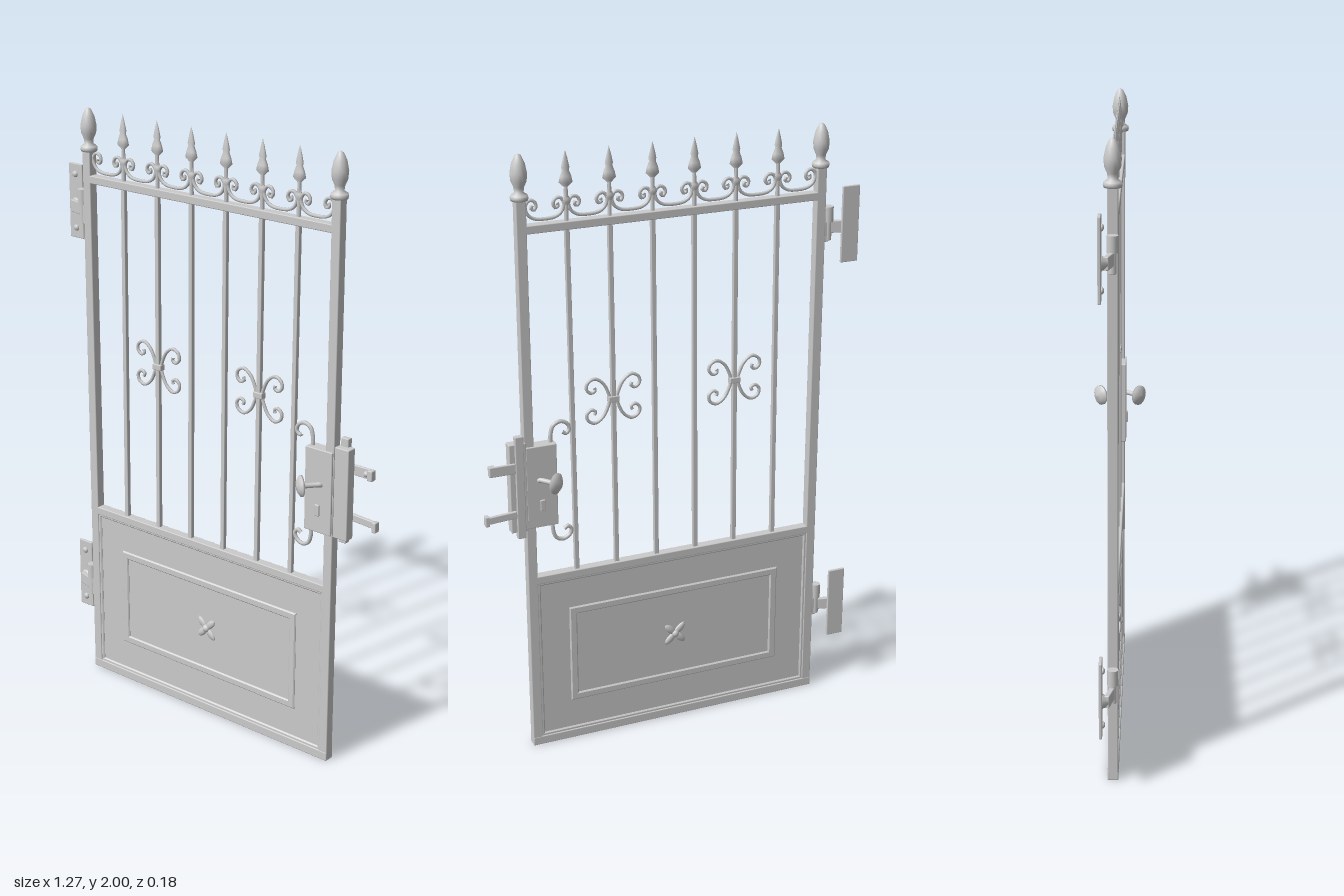
import * as THREE from 'three';
import { RoundedBoxGeometry } from 'three/addons/geometries/RoundedBoxGeometry.js';

const Z = 0.004; // centre plane of the gate leaf
const LEFT = -0.515, RIGHT = 0.479; // post centres
const iron = new THREE.MeshStandardMaterial({ color: 0xcccccc });

function add(parent, name, geometry, x = 0, y = 0, z = 0) {
  const mesh = new THREE.Mesh(geometry, iron);
  mesh.name = name;
  mesh.position.set(x, y, z);
  parent.add(mesh);
  return mesh;
}

// Box given by its extents
function box(parent, name, x0, x1, y0, y1, z0, z1, r = 0.003) {
  return add(parent, name, new RoundedBoxGeometry(x1 - x0, y1 - y0, z1 - z0, 1, r),
    (x0 + x1) / 2, (y0 + y1) / 2, (z0 + z1) / 2);
}

function lathe(points, segments = 16) {
  return new THREE.LatheGeometry(points.map(p => new THREE.Vector2(...p)), segments);
}

function tube(points, radius, segments = 48) {
  const curve = new THREE.CatmullRomCurve3(points.map(([x, y]) => new THREE.Vector3(x, y, 0)));
  return new THREE.TubeGeometry(curve, segments, radius, 6);
}

// Bevelled rectangular frame, extruded evenly around z = 0
function frame(x0, x1, y0, y1, width, depth) {
  const rect = (Type, i) => new Type([[x0 + i, y0 + i], [x1 - i, y0 + i], [x1 - i, y1 - i], [x0 + i, y1 - i]]
    .map(p => new THREE.Vector2(...p)));
  const shape = rect(THREE.Shape, 0.004);
  shape.holes.push(rect(THREE.Path, width - 0.004));
  const geometry = new THREE.ExtrudeGeometry(shape, {
    depth: depth - 0.008, bevelSize: 0.004, bevelThickness: 0.004, bevelSegments: 1,
  });
  return geometry.translate(0, 0, 0.004 - depth / 2);
}

// Posts with bud finials
function buildPosts(gate) {
  const bud = lathe([[0, 1.855], [0.026, 1.86], [0.028, 1.868], [0.026, 1.876], [0.014, 1.884], [0.016, 1.9],
    [0.024, 1.918], [0.026, 1.942], [0.02, 1.972], [0.009, 1.995], [0, 2]]);
  for (const x of [LEFT, RIGHT]) {
    box(gate, 'post', x - 0.016, x + 0.016, 0, 1.865, Z - 0.016, Z + 0.016);
    add(gate, 'postFinial', bud, x, 0, Z);
  }
}

// Upright bars, spear heads and the scroll crest
function buildBars(gate) {
  const bars = [-0.368, -0.225, -0.085, 0.053, 0.193, 0.331].map(x => x + 0.002);
  const spear = lathe([[0, 1.8], [0.009, 1.83], [0.014, 1.84], [0.014, 1.85], [0.007, 1.858], [0.006, 1.885],
    [0.022, 1.9], [0.018, 1.918], [0.011, 1.935], [0.013, 1.945], [0.007, 1.972], [0, 1.997]], 12).scale(1, 1, 0.6);
  for (const x of bars) {
    const bar = box(gate, 'bar', x - 0.0075, x + 0.0075, 0.61, 1.78, Z - 0.0075, Z + 0.0075, 0.002);
    bar.position.x -= 0.004;
    bar.rotation.z = -0.007;
    add(gate, 'spearStem', new THREE.CylinderGeometry(0.006, 0.007, 0.11, 8), x, 1.835, Z);
    add(gate, 'spearHead', spear, x, 0, Z);
  }

  // Swags with curled ends between neighbouring uprights
  const curl = [[0.55, 0.004], [0.86, 0.018], [0.98, 0.042], [0.8, 0.06], [0.55, 0.058],
    [0.43, 0.043], [0.55, 0.03], [0.69, 0.037], [0.62, 0.045]];
  const stops = [LEFT + 0.01, ...bars, RIGHT - 0.01];
  for (let i = 1; i < stops.length; i++) {
    const mid = (stops[i] + stops[i - 1]) / 2;
    const half = (stops[i] - stops[i - 1]) / 2 - 0.006;
    const right = curl.map(([x, y]) => [x * half, y]);
    const left = right.map(([x, y]) => [-x, y]).reverse();
    add(gate, 'crestScroll', tube([...left, [0, 0], ...right], 0.0055, 64), mid, 1.795, Z);
  }

  // Back-to-back C scrolls on two of the bars
  const arm = [[0.02, 0.03], [0.036, 0.058], [0.062, 0.074], [0.085, 0.063], [0.089, 0.042],
    [0.074, 0.028], [0.06, 0.036], [0.064, 0.046]];
  for (const x of [bars[1], bars[4]]) {
    for (const side of [1, -1]) {
      const up = arm.map(([a, b]) => [side * a, b]);
      const down = up.map(([a, b]) => [a, -b]).reverse();
      add(gate, 'barScroll', tube([...down, [side * 0.012, 0], ...up], 0.0055, 64), x - 0.004, 1.19, Z);
    }
    box(gate, 'scrollCollar', x - 0.022, x + 0.014, 1.18, 1.2, Z - 0.011, Z + 0.011);
  }
}

// Rails and the panelled lower part
function buildPanel(gate) {
  box(gate, 'topRail', LEFT, RIGHT, 1.757, 1.783, Z - 0.016, Z + 0.016);
  box(gate, 'middleRail', LEFT, RIGHT, 0.595, 0.622, Z - 0.016, Z + 0.016);
  box(gate, 'bottomRail', LEFT - 0.016, RIGHT + 0.016, 0, 0.03, Z - 0.017, Z + 0.017);
  box(gate, 'panelSheet', LEFT, RIGHT, 0.01, 0.61, Z - 0.008, Z + 0.008);
  add(gate, 'panelBorder', frame(-0.503, 0.467, 0.026, 0.6, 0.014, 0.026), 0, 0, Z);
  add(gate, 'panelMoulding', frame(-0.392, 0.357, 0.14, 0.487, 0.026, 0.027), 0, 0, Z);

  // Four-petalled rosette on each face
  const petal = new THREE.SphereGeometry(1, 10, 6).scale(0.026, 0.012, 0.007).translate(0.024, 0, 0);
  for (const side of [1, -1]) {
    const rosette = new THREE.Group();
    rosette.name = 'rosette';
    rosette.position.set(-0.017, 0.312, Z + side * 0.009);
    for (let i = 0; i < 4; i++) add(rosette, 'petal', petal).rotation.z = Math.PI / 4 + i * Math.PI / 2;
    add(rosette, 'rosetteCentre', new THREE.SphereGeometry(0.014, 12, 8));
    gate.add(rosette);
  }
}

// Wall hinge: screwed plate, boss, arm and knuckle; y is the plate centre
function buildHinge(gate, y, knuckleY) {
  const hinge = new THREE.Group();
  hinge.name = 'hinge';
  hinge.position.y = y;
  gate.add(hinge);
  box(hinge, 'hingePlate', -0.638, -0.578, -0.125, 0.125, -0.036, -0.026);
  const boss = new THREE.CylinderGeometry(0.01, 0.025, 0.02, 12).rotateX(Math.PI / 2);
  add(hinge, 'hingeBoss', boss, -0.606, -0.012, -0.017);
  const screw = new THREE.SphereGeometry(0.011, 10, 6).scale(1, 1, 0.7);
  for (const s of [-0.09, 0.09]) add(hinge, 'screw', screw, -0.608, s, -0.025);
  const arm = box(hinge, 'hingeArm', -0.615, -0.54, -0.032, 0.008, -0.012, 0.004);
  arm.rotation.y = -0.25;
  add(hinge, 'hingePin', new THREE.CylinderGeometry(0.012, 0.012, 0.11, 12), -0.548, knuckleY, Z);
  add(hinge, 'hingeKnuckle', new THREE.CylinderGeometry(0.017, 0.017, 0.05, 14), -0.548, knuckleY + 0.03, Z);
  box(hinge, 'hingeLug', -0.548, -0.525, knuckleY - 0.06, knuckleY + 0.05, Z - 0.009, Z + 0.009);
}

// Lock case, knobs, keeper and bolts
function buildLock(gate) {
  const lock = new THREE.Group();
  lock.name = 'lock';
  gate.add(lock);
  box(lock, 'lockCase', 0.39, 0.492, 0.8, 1.077, Z - 0.022, Z + 0.022);
  box(lock, 'keeperPlate', 0.49, 0.546, 0.795, 1.095, -0.018, 0.016);
  box(lock, 'keeperStrip', 0.5, 0.528, 0.775, 1.122, -0.026, -0.006);

  // Latch bracket with hooked end, and lower bolt
  box(lock, 'latchStrap', 0.53, 0.615, 1.003, 1.037, -0.032, -0.022);
  box(lock, 'latchHook', 0.596, 0.615, 1.003, 1.037, -0.032, -0.01);
  add(lock, 'latchRivet', new THREE.SphereGeometry(0.01, 10, 6), 0.588, 1.02, -0.021);
  box(lock, 'lowerBolt', 0.53, 0.632, 0.848, 0.872, -0.032, -0.02).rotation.z = -0.06;
  box(lock, 'lowerBoltEnd', 0.62, 0.634, 0.838, 0.872, -0.032, -0.01);

  // Knob on an angled stem and a key escutcheon on each face
  const knobShape = lathe([[0, 0], [0.012, 0], [0.008, 0.012], [0.008, 0.055], [0.014, 0.062],
    [0.034, 0.064], [0.034, 0.07], [0.02, 0.08], [0, 0.084]], 20);
  for (const side of [1, -1]) {
    const axis = new THREE.Vector3(-0.62, 0, side * 0.78).normalize();
    const knob = add(lock, 'knob', knobShape, 0.452, 0.962, Z + side * 0.013);
    knob.quaternion.setFromUnitVectors(new THREE.Vector3(0, 1, 0), axis);
    box(lock, 'keyEscutcheon', 0.432, 0.45, 0.857, 0.895, Z + side * 0.024 - 0.004, Z + side * 0.024 + 0.004);
  }

  // Curls above and below the case
  const curl = [[0.402, 0.12], [0.402, 0.165], [0.392, 0.193], [0.368, 0.203], [0.345, 0.19],
    [0.34, 0.172], [0.352, 0.16], [0.364, 0.168]];
  for (const side of [1, -1]) {
    add(lock, 'lockScroll', tube(curl.map(([x, y]) => [x, side * y]), 0.0065), 0, 0.938, Z);
  }
}

export function createModel() {
  const gate = new THREE.Group();
  gate.name = 'gate';
  buildPosts(gate);
  buildBars(gate);
  buildPanel(gate);
  buildHinge(gate, 1.675, 0.0);
  buildHinge(gate, 0.322, 0.01);
  buildLock(gate);
  return gate;
}
